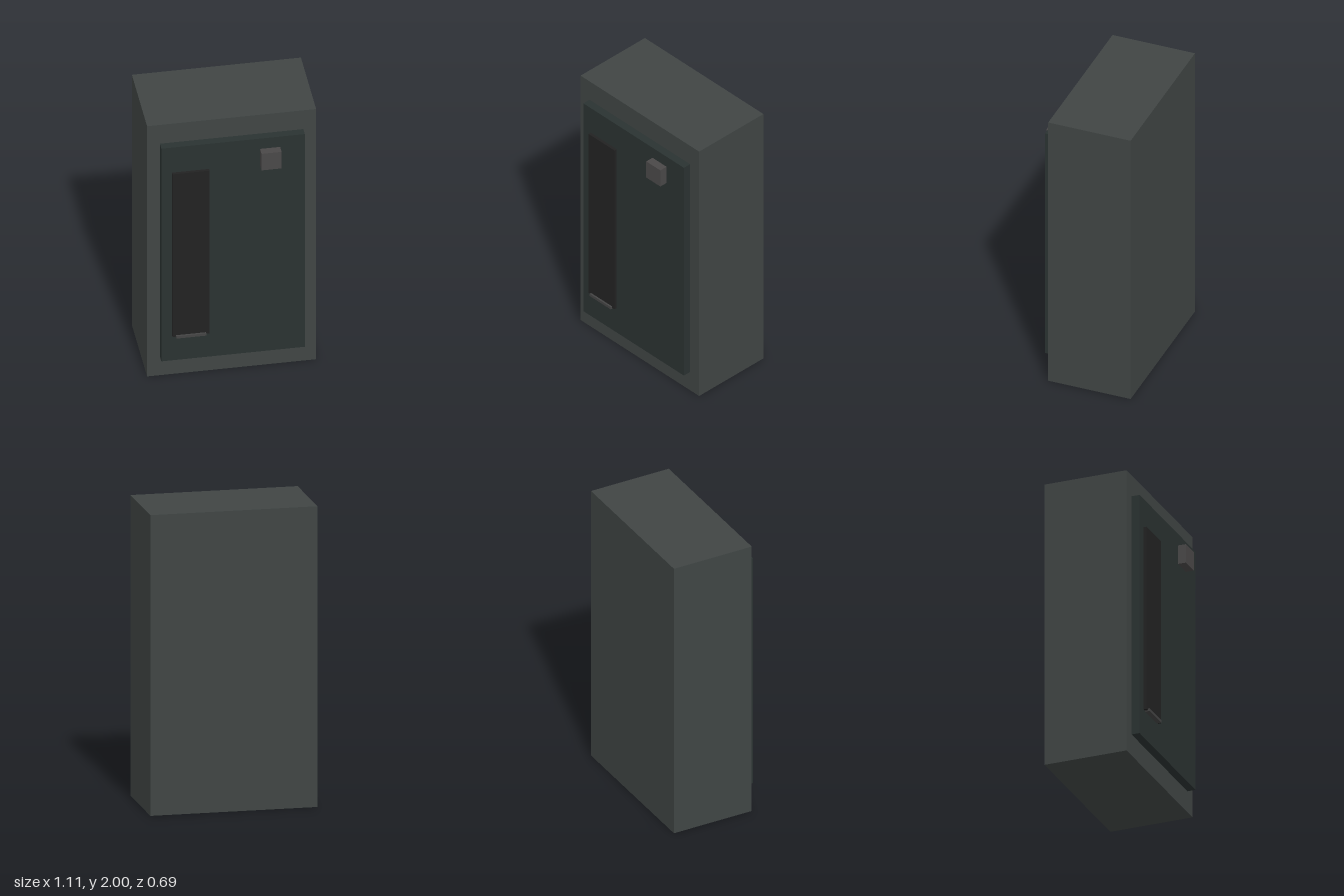
import * as THREE from 'three';

export function createModel() {
  const model = new THREE.Group();

  // Box given by its extents along each axis
  function addBox(name, color, [x0, x1], [y0, y1], [z0, z1]) {
    const mesh = new THREE.Mesh(
      new THREE.BoxGeometry(x1 - x0, y1 - y0, z1 - z0),
      new THREE.MeshStandardMaterial({ color })
    );
    mesh.position.set((x0 + x1) / 2, (y0 + y1) / 2, (z0 + z1) / 2);
    mesh.name = name;
    model.add(mesh);
  }

  const bodyFront = 0.231;
  const doorFront = 0.287;

  // Cabinet with a raised door panel
  addBox('cabinet', 0x404544, [-0.555, 0.555], [0, 2], [-0.344, bodyFront]);
  addBox('doorPanel', 0x2a3231, [-0.471, 0.471], [0.15, 1.85], [bodyFront, doorFront]);

  // Tall dark strip with a small ledge at its foot
  addBox('verticalStrip', 0x222222, [-0.401, -0.158], [0.35, 1.65], [doorFront, 0.307]);
  addBox('stripLedge', 0x444444, [-0.378, -0.181], [0.343, 0.362], [doorFront, 0.319]);

  // Square knob in the upper corner
  addBox('knob', 0x4a4848, [0.177, 0.309], [1.636, 1.768], [doorFront, 0.343]);

  return model;
}
